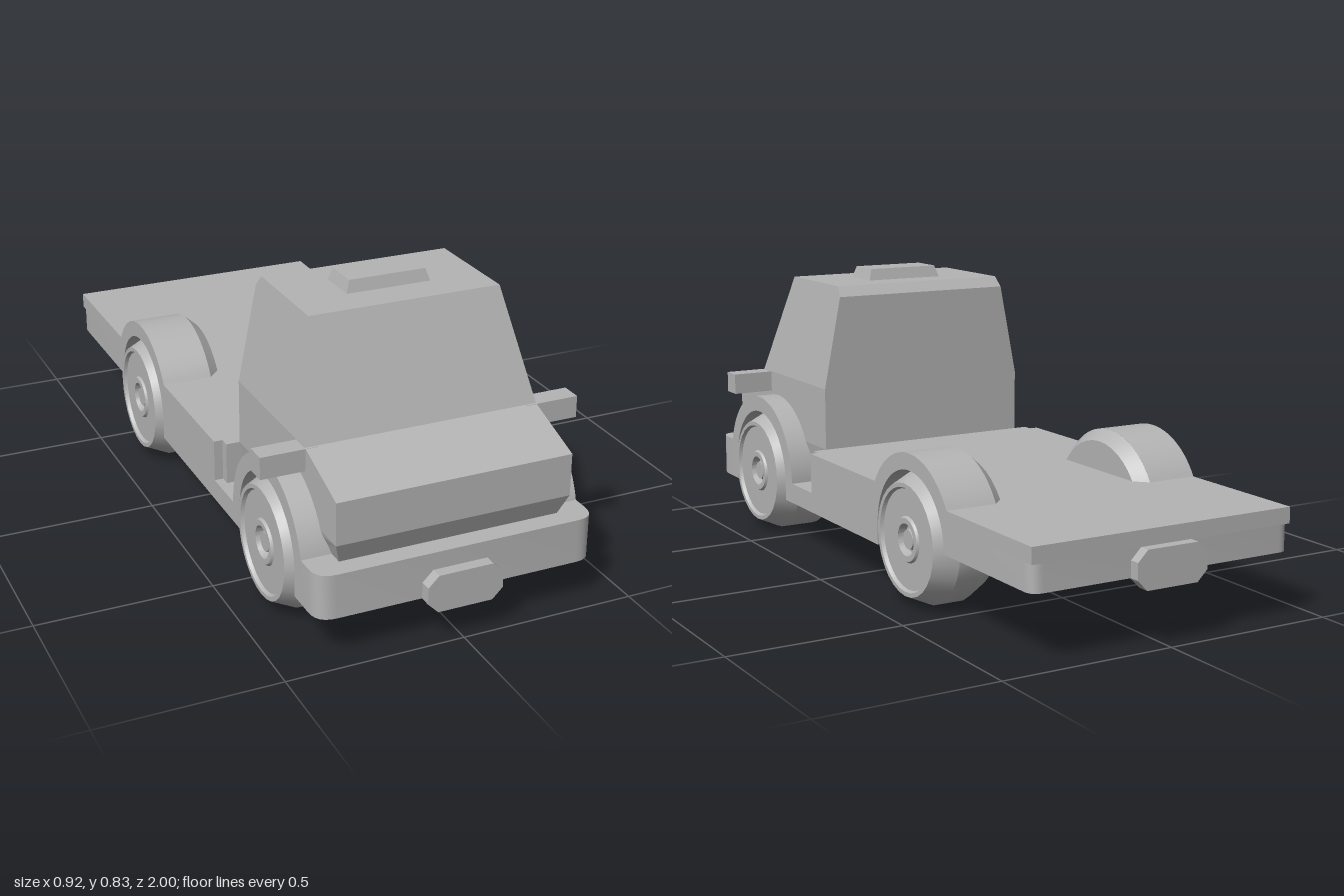
import * as THREE from 'three';
import { toCreasedNormals } from 'three/addons/utils/BufferGeometryUtils.js';

const grey = new THREE.MeshStandardMaterial({ color: 0xb4b4b4 });
grey.name = 'plain grey';

const FRONT_AXLE = 0.64, REAR_AXLE = -0.355, AXLE_Y = 0.188;

export function createModel() {
  const truck = new THREE.Group();
  truck.name = 'flatbedTruck';

  const add = (name, geometry) => {
    const mesh = new THREE.Mesh(geometry, grey);
    mesh.name = name;
    truck.add(mesh);
    return mesh;
  };

  // Box given by its limits
  const box = (name, x0, x1, y0, y1, z0, z1) => {
    const g = new THREE.BoxGeometry(x1 - x0, y1 - y0, z1 - z0);
    g.translate((x0 + x1) / 2, (y0 + y1) / 2, (z0 + z1) / 2);
    return add(name, g);
  };

  // Side profile in (z, y), extruded across x
  const acrossX = (shape, x0, x1) => {
    const g = new THREE.ExtrudeGeometry(shape, { depth: x1 - x0, bevelEnabled: false, curveSegments: 24 });
    return g.rotateY(-Math.PI / 2).translate(x1, 0, 0);
  };
  const polygon = (pts) => new THREE.Shape(pts.map((p) => new THREE.Vector2(p[0], p[1])));

  // Cab section whose half width depends on height
  const cabSection = (name, pts, halfWidth) => {
    const g = acrossX(polygon(pts), -1, 1);
    const p = g.attributes.position;
    for (let i = 0; i < p.count; i++) p.setX(i, p.getX(i) * halfWidth(p.getY(i)));
    g.computeVertexNormals();
    add(name, g);
  };
  cabSection('cabUpper',
    [[0.745, 0.495], [0.63, 0.8], [0.32, 0.8], [0.295, 0.77], [0.295, 0.495]],
    (y) => 0.335 - (y - 0.495) * 0.197);
  cabSection('cabLower',
    [[0.935, 0.31], [0.935, 0.43], [0.745, 0.495], [0.295, 0.495], [0.295, 0.31]],
    () => 0.335);
  cabSection('cabChin',
    [[0.935, 0.31], [0.295, 0.31], [0.295, 0.2], [0.8, 0.2], [0.8, 0.25], [0.91, 0.25]],
    (y) => (y < 0.3 ? 0.315 : 0.335));

  // Roof vent, narrowing upwards
  const vent = new THREE.BoxGeometry(0.244, 0.034, 0.12);
  const vp = vent.attributes.position;
  for (let i = 0; i < vp.count; i++) {
    if (vp.getY(i) > 0) vp.setXYZ(i, vp.getX(i) * 0.91, vp.getY(i), vp.getZ(i) * 0.84);
  }
  vent.computeVertexNormals();
  add('roofVent', vent.translate(0, 0.817, 0.47));

  // Chassis core and load bed
  box('chassisCore', -0.25, 0.25, 0.13, 0.31, -0.543, 0.295);
  box('frontChassis', -0.25, 0.25, 0.13, 0.25, 0.29, 0.85);
  box('bedFront', -0.375, 0.375, 0.19, 0.31, -0.12, 0.295);
  box('bedRear', -0.4, 0.4, 0.265, 0.31, -0.97, -0.6);
  box('bedRearCore', -0.26, 0.26, 0.19, 0.31, -0.9, -0.5);

  // Slab with two rounded corners at the far z end
  const roundedSlab = (name, y0, y1, zIn, zOut, r) => {
    const s = Math.sign(zOut - zIn), w = 0.4;
    const shape = new THREE.Shape();
    shape.moveTo(-w, zIn);
    shape.lineTo(-w, zOut - s * r);
    shape.quadraticCurveTo(-w, zOut, -w + r, zOut);
    shape.lineTo(w - r, zOut);
    shape.quadraticCurveTo(w, zOut, w, zOut - s * r);
    shape.lineTo(w, zIn);
    const g = new THREE.ExtrudeGeometry(shape, { depth: y1 - y0, bevelEnabled: false, curveSegments: 6 });
    add(name, toCreasedNormals(g.rotateX(Math.PI / 2).translate(0, y1, 0), 0.6));
  };
  roundedSlab('frontBumper', 0.125, 0.25, 0.828, 0.967, 0.055);
  roundedSlab('rearBumper', 0.19, 0.265, -0.6, -0.97, 0.035);

  // Octagonal plates at both ends
  const plate = (name, y, z) => {
    const w = 0.108, h = 0.053, c = 0.03;
    const shape = polygon([[-w, c - h], [c - w, -h], [w - c, -h], [w, c - h],
      [w, h - c], [w - c, h], [c - w, h], [-w, h - c]]);
    const g = new THREE.ExtrudeGeometry(shape, { depth: 0.035, bevelEnabled: false });
    add(name, g.translate(0, y, z));
  };
  plate('frontPlate', 0.148, 0.965);
  plate('rearPlate', 0.213, -1);

  // Side body with both wheel arches in one outline
  const R = 0.235, r = 0.188, a = Math.asin(0.12 / R);
  const side = new THREE.Shape();
  side.moveTo(FRONT_AXLE + R, 0.19);
  side.absarc(FRONT_AXLE, 0.19, R, 0, Math.PI, false);
  side.lineTo(0.265, 0.19);
  side.lineTo(0.265, 0.31);
  side.absarc(REAR_AXLE, 0.19, R, a, Math.PI - a, false);
  side.lineTo(-0.9, 0.31);
  side.lineTo(-0.9, 0.19);
  side.absarc(REAR_AXLE, 0.19, r, Math.PI, 0, true);
  side.lineTo(REAR_AXLE + r, 0.13);
  side.lineTo(FRONT_AXLE - r, 0.13);
  side.absarc(FRONT_AXLE, 0.19, r, Math.PI, 0, true);

  // Wheel turned around the x axis, outer face at x = 0.415
  const wheelGeometry = (inner) => {
    const profile = [[0, inner], [0.155, inner], [0.187, inner + 0.06], [0.187, 0.35], [0.157, 0.415],
      [0.145, 0.415], [0.14, 0.405], [0.065, 0.405], [0.06, 0.412], [0.045, 0.412],
      [0.04, 0.39], [0.03, 0.39], [0.027, 0.405], [0, 0.405]];
    const g = new THREE.LatheGeometry(profile.map((p) => new THREE.Vector2(p[0], p[1])), 28);
    return toCreasedNormals(g.rotateZ(-Math.PI / 2), 0.4);
  };

  for (const s of [1, -1]) {
    const tag = s > 0 ? 'left' : 'right';
    const [x0, x1] = s > 0 ? [0.25, 0.4] : [-0.4, -0.25];
    add(tag + 'SideBody', toCreasedNormals(acrossX(side, x0, x1), 0.5));

    // Closed, bevelled inner end of the rear wheel arch
    const cap = new THREE.CylinderGeometry(R, 0.205, 0.035, 40);
    cap.rotateZ(-s * Math.PI / 2).translate(s * 0.2325, 0.19, REAR_AXLE);
    const half = cap.attributes.position;
    for (let i = 0; i < half.count; i++) half.setY(i, Math.max(half.getY(i), 0.2));
    add(tag + 'RearArchCap', toCreasedNormals(cap, 0.5));

    for (const [end, z, inner] of [['Front', FRONT_AXLE, 0.185], ['Rear', REAR_AXLE, 0.22]]) {
      const wheel = add(tag + end + 'Wheel', wheelGeometry(inner));
      wheel.rotation.y = s > 0 ? 0 : Math.PI;
      wheel.position.set(0, AXLE_Y, z);
    }

    // Door mirror
    const [m0, m1] = s > 0 ? [0.3, 0.46] : [-0.46, -0.3];
    box(tag + 'Mirror', m0, m1, 0.432, 0.494, 0.69, 0.75);
  }
  return truck;
}
